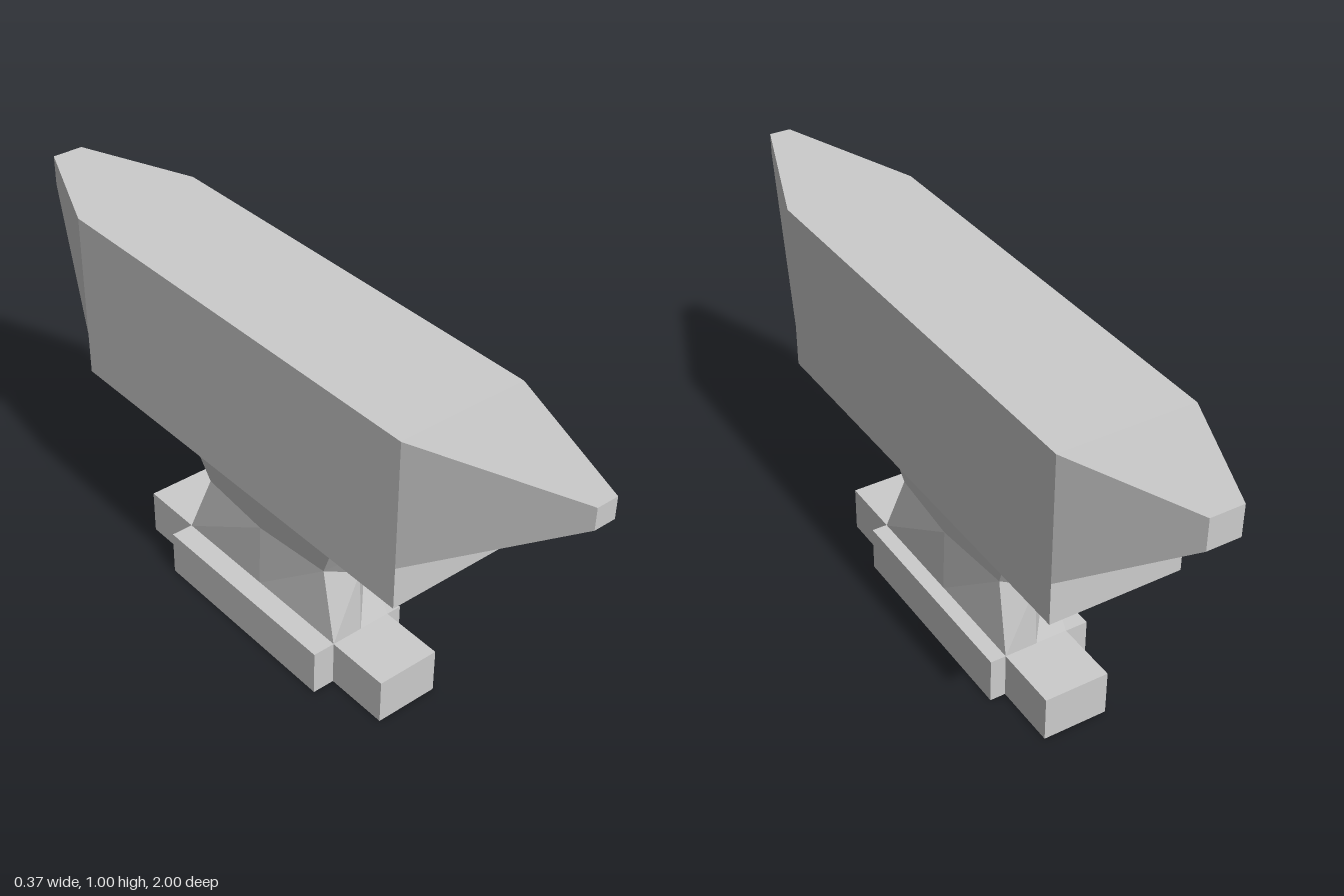
import * as THREE from 'three';

const material = new THREE.MeshStandardMaterial({ color: 0xcccccc, flatShading: true });

// Joins equal-length rings of points into a capped, faceted solid.
// Rings run counter-clockwise when seen from the last ring's side.
function loft(rings) {
  const pos = [];
  const tri = (a, b, c) => pos.push(...a, ...b, ...c);
  const n = rings[0].length;
  for (let r = 0; r < rings.length - 1; r++) {
    const lo = rings[r], hi = rings[r + 1];
    for (let i = 0; i < n; i++) {
      const j = (i + 1) % n;
      tri(lo[i], lo[j], hi[j]);
      tri(lo[i], hi[j], hi[i]);
    }
  }
  const first = rings[0], last = rings[rings.length - 1];
  for (let i = 1; i < n - 1; i++) {
    tri(first[0], first[i + 1], first[i]);
    tri(last[0], last[i], last[i + 1]);
  }
  const g = new THREE.BufferGeometry();
  g.setAttribute('position', new THREE.Float32BufferAttribute(pos, 3));
  g.computeVertexNormals();
  return g;
}

function part(name, geometry) {
  const mesh = new THREE.Mesh(geometry, material);
  mesh.name = name;
  return mesh;
}

// Cross-shaped foot: a long narrow bar with a shorter, wider middle
function footGeometry() {
  const front = 0.455, back = -0.535, sFront = 0.27, sBack = -0.35;
  const n = 0.092, left = 0.136, right = -0.156;
  // shape y becomes -z once laid flat
  const outline = [
    [-n, front], [n, front], [n, sFront], [left, sFront], [left, sBack], [n, sBack],
    [n, back], [-n, back], [-n, sBack], [right, sBack], [right, sFront], [-n, sFront],
  ].map(([x, z]) => new THREE.Vector2(x, -z));
  const g = new THREE.ExtrudeGeometry(new THREE.Shape(outline), { depth: 0.132, bevelEnabled: false });
  return g.rotateX(-Math.PI / 2);
}

// Eight-point waist section: ridge at each end, corners, and side midpoints
function waistRing({ end, corner, side }) {
  const mid = -0.04;
  const [ze, ye] = end, [xc, zc, yc] = corner, [xs, ys] = side;
  return [
    [0, ye, mid + ze], [xc, yc, mid + zc], [xs, ys, mid], [xc, yc, mid - zc],
    [0, ye, mid - ze], [-xc, yc, mid - zc], [-xs, ys, mid], [-xc, yc, mid + zc],
  ];
}

// Head section across z: half width, underside and top heights
const headRing = ([z, x, bottom, top]) => [
  [-x, bottom, z], [x, bottom, z], [x, top, z], [-x, top, z],
];

export function createModel() {
  const model = new THREE.Group();
  model.name = 'anvil';

  model.add(part('foot', footGeometry()));

  // Pinched waist, flaring out to the underside of the head
  model.add(part('waist', loft([
    { end: [0.31, 0.13], corner: [0.092, 0.31, 0.13], side: [0.092, 0.13] },
    { end: [0.3, 0.318], corner: [0.07, 0.24, 0.32], side: [0.087, 0.318] },
    { end: [0.38, 0.462], corner: [0.09, 0.31, 0.472], side: [0.112, 0.462] },
    { end: [0.622, 0.526], corner: [0.183, 0.622, 0.526], side: [0.183, 0.526] },
  ].map(waistRing))));

  // Block with a tapering horn at each end, back to front
  model.add(part('head', loft([
    [-1, 0.045, 0.915, 1],
    [-0.665, 0.183, 0.645, 0.998],
    [-0.665, 0.183, 0.525, 0.998],
    [0.582, 0.183, 0.525, 0.998],
    [0.582, 0.183, 0.645, 0.998],
    [1, 0.03, 0.944, 1.003],
  ].map(headRing))));

  return model;
}
